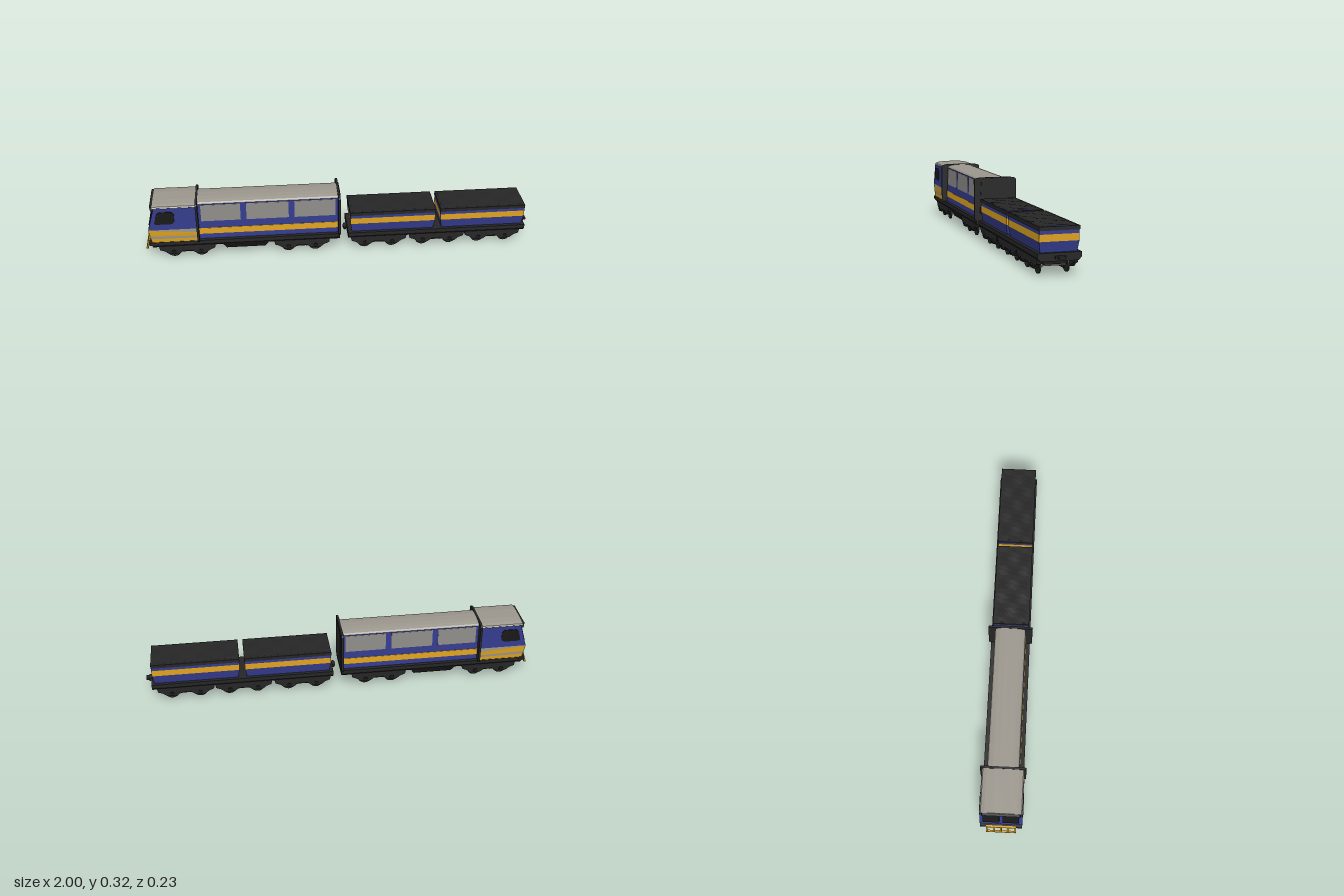
import * as THREE from 'three';

const mat = (color) => new THREE.MeshStandardMaterial({ color, flatShading: true, side: THREE.DoubleSide });
const BLUE = mat(0x343c8c), YELLOW = mat(0xdfa31f), DARK = mat(0x262626), GREY = mat(0x9c978d), GLASS = mat(0x8f8c89), BLACK = mat(0x191919);

function add(parent, name, geo, material, x = 0, y = 0, z = 0) {
  const m = new THREE.Mesh(geo, material);
  m.name = name;
  m.position.set(x, y, z);
  parent.add(m);
  return m;
}

// Box given by its limits
function box(parent, name, material, x0, x1, y0, y1, z0, z1) {
  return add(parent, name, new THREE.BoxGeometry(x1 - x0, y1 - y0, z1 - z0), material,
    (x0 + x1) / 2, (y0 + y1) / 2, (z0 + z1) / 2);
}

// Six-sided block; each end is [x0, x1, y at x0, y at x1, z0, z1]
function block(parent, name, material, bottom, top) {
  const g = new THREE.BoxGeometry(1, 1, 1), p = g.attributes.position;
  for (let i = 0; i < p.count; i++) {
    const e = p.getY(i) < 0 ? bottom : top;
    const b = p.getX(i) < 0 ? 0 : 1;
    p.setXYZ(i, e[b], e[2 + b], e[p.getZ(i) < 0 ? 4 : 5]);
  }
  g.computeVertexNormals();
  return add(parent, name, g, material);
}

// Mirrored (z, y) half profile extruded along x
function section(parent, name, material, half, x0, x1) {
  const pts = [...half, ...half.slice().reverse().map(([z, y]) => [-z, y])];
  const shape = new THREE.Shape(pts.map(([z, y]) => new THREE.Vector2(z, y)));
  const g = new THREE.ExtrudeGeometry(shape, { depth: x1 - x0, bevelEnabled: false });
  g.rotateY(Math.PI / 2);
  return add(parent, name, g, material, x0);
}

// Outline in x, y extruded through z
function slab(parent, name, material, pts, z0, z1) {
  const shape = new THREE.Shape(pts.map(([x, y]) => new THREE.Vector2(x, y)));
  const g = new THREE.ExtrudeGeometry(shape, { depth: z1 - z0, bevelEnabled: false });
  return add(parent, name, g, material, 0, 0, z0);
}

function bogie(parent, cx, offset) {
  const b = new THREE.Group();
  b.name = 'bogie';
  b.position.x = cx;
  parent.add(b);
  const o = offset;
  box(b, 'bogieBeam', BLACK, -o - 0.04, o + 0.04, 0.045, 0.078, -0.055, 0.055);
  const right = [[0.025, 0.045], [o - 0.04, 0.04], [o - 0.025, 0.028], [o + 0.025, 0.028], [o + 0.045, 0.045], [o + 0.07, 0.055], [o + 0.075, 0.08]];
  const outline = [...right, ...right.slice().reverse().map(([x, y]) => [-x, y])];
  for (const s of [-1, 1]) {
    slab(b, 'bogieSideFrame', DARK, outline, s * 0.085 - 0.01, s * 0.085 + 0.01);
    box(b, 'brakeRod', DARK, -o, o, 0.018, 0.024, s * 0.055 - 0.004, s * 0.055 + 0.004);
    for (const e of [-1, 1]) {
      const wheel = new THREE.CylinderGeometry(0.036, 0.036, 0.008, 20).rotateX(Math.PI / 2);
      add(b, 'wheel', wheel, DARK, e * o, 0.036, s * 0.066);
      const cap = new THREE.CylinderGeometry(0.012, 0.012, 0.006, 10).rotateX(Math.PI / 2);
      add(b, 'axleBox', cap, BLACK, e * o, 0.04, s * 0.095);
      box(b, 'brakeShoe', DARK, e * (o - 0.045) - 0.004, e * (o - 0.045) + 0.004, 0.017, 0.05, s * 0.055 - 0.005, s * 0.055 + 0.005);
    }
  }
  for (const e of [-1, 1])
    add(b, 'axle', new THREE.CylinderGeometry(0.006, 0.006, 0.13, 8).rotateX(Math.PI / 2), GREY, e * o, 0.036, 0);
}

// Chassis with chamfered lower edges
const deck = (parent, x0, x1) =>
  section(parent, 'chassis', DARK, [[0.088, 0.07], [0.102, 0.086], [0.102, 0.107]], x0, x1);

function cab(parent) {
  const g = new THREE.Group();
  g.name = 'cab';
  parent.add(g);
  const rear = -0.73;
  // Nose position and half width by height
  const nose = (y) => y < 0.18 ? -0.965 - (y - 0.107) * 0.18 : -0.978 + (y - 0.18) * 0.29;
  const wide = (y) => y < 0.18 ? 0.1 + (y - 0.107) * 0.068 : 0.105 - (y - 0.18) * 0.016;
  const level = (yf, yr) => [nose(yf), rear, yf, yr, -wide(yf), wide(yf)];
  const bands = [
    ['cabLowerStripe', YELLOW, [0.107, 0.107], [0.128, 0.126]],
    ['cabGreyStripe', GREY, [0.128, 0.126], [0.145, 0.138]],
    ['cabUpperStripe', YELLOW, [0.145, 0.138], [0.18, 0.16]],
    ['cabGreyWedge', GREY, [0.18, 0.16], [0.182, 0.182]],
    ['cabUpperBody', BLUE, [0.182, 0.182], [0.307, 0.307]],
  ];
  for (const [name, m, lo, hi] of bands) block(g, name, m, level(...lo), level(...hi));
  section(g, 'cabRoof', GREY, [[0.104, 0.305], [0.098, 0.313], [0.08, 0.319], [0.04, 0.323]], -0.95, rear);
  block(g, 'roofVisor', DARK, [-0.958, -0.94, 0.288, 0.288, -0.095, 0.095], [-0.962, -0.94, 0.312, 0.314, -0.09, 0.09]);
  // Side windows
  slab(g, 'cabSideWindows', BLACK, [[-0.944, 0.222], [-0.936, 0.215], [-0.856, 0.215], [-0.842, 0.228], [-0.842, 0.272],
    [-0.856, 0.285], [-0.915, 0.285], [-0.93, 0.275]], -0.1065, 0.1065);
  for (const s of [-1, 1]) {
    const z = [s * 0.008, s * 0.088].sort((a, b) => a - b);
    block(g, 'windscreen', BLACK, [nose(0.205) - 0.004, nose(0.205) + 0.01, 0.205, 0.205, ...z],
      [nose(0.285) - 0.004, nose(0.285) + 0.01, 0.285, 0.285, ...z]);
    add(g, 'headlight', new THREE.CylinderGeometry(0.01, 0.01, 0.01, 12).rotateZ(Math.PI / 2), GREY, -0.974, 0.155, s * 0.07);
  }
  // Front ledge and cowcatcher
  box(g, 'frontLedge', DARK, -0.98, -0.95, 0.09, 0.108, -0.104, 0.104);
  const guard = new THREE.Group();
  guard.name = 'cowcatcher';
  g.add(guard);
  for (let i = 0; i < 5; i++) {
    const z = -0.07 + i * 0.035;
    block(guard, 'guardBar', YELLOW, [-1, -0.992, 0.056, 0.056, z - 0.004, z + 0.004],
      [-0.984, -0.976, 0.115, 0.115, z - 0.004, z + 0.004]);
  }
  for (const [x, y] of [[-0.995, 0.06], [-0.98, 0.11]])
    box(guard, 'guardRail', YELLOW, x - 0.005, x + 0.005, y - 0.004, y + 0.004, -0.075, 0.075);
}

function locomotive(parent) {
  const g = new THREE.Group();
  g.name = 'locomotive';
  parent.add(g);
  deck(g, -0.965, -0.003);
  cab(g);
  // Coach hull, narrower than the deck
  const side = (y) => 0.083 - (y - 0.107) * 0.035;
  section(g, 'coachBody', BLUE, [[side(0.107), 0.107], [side(0.306), 0.306]], -0.73, -0.01);
  section(g, 'coachRoof', GREY, [[0.077, 0.306], [0.07, 0.314], [0.05, 0.32], [0.02, 0.323]], -0.73, -0.01);
  const panel = (name, m, x0, x1, y0, y1, s) => {
    const z = (y) => [s * (side(y) - 0.004), s * (side(y) + 0.0015)].sort((a, b) => a - b);
    block(g, name, m, [x0, x1, y0, y0, ...z(y0)], [x0, x1, y1, y1, ...z(y1)]);
  };
  for (const s of [-1, 1]) {
    panel('coachStripe', YELLOW, -0.725, -0.012, 0.135, 0.168, s);
    for (const [a, b] of [[-0.71, -0.51], [-0.48, -0.265], [-0.235, -0.025]]) panel('coachWindow', GLASS, a, b, 0.208, 0.3, s);
  }
  // Bulkheads at both ends of the coach
  for (const x of [-0.735, -0.012])
    section(g, 'bulkhead', DARK, [[0.103, 0.1], [0.113, 0.11], [0.113, 0.314], [0.106, 0.32], [0.08, 0.325]], x, x + 0.011);
  section(g, 'gangwayDoor', DARK, [[0.083, 0.107], [0.08, 0.22], [0.075, 0.312], [0.06, 0.32]], -0.002, 0.002);
  block(g, 'fuelTank', BLACK, [-0.59, -0.39, 0.04, 0.04, -0.075, 0.075], [-0.61, -0.37, 0.075, 0.075, -0.09, 0.09]);
  bogie(g, -0.79, 0.07);
  bogie(g, -0.2, 0.07);
}

function hopper(parent, x0, x1) {
  const g = new THREE.Group();
  g.name = 'hopper';
  parent.add(g);
  const inset = (d, y, w) => [x0 + d, x1 - d, y, y, -w, w];
  block(g, 'hopperBase', BLUE, inset(0.01, 0.107, 0.085), inset(0.002, 0.155, 0.092));
  block(g, 'hopperStripe', YELLOW, inset(0.002, 0.155, 0.092), inset(0.001, 0.187, 0.092));
  block(g, 'hopperTop', BLUE, inset(0.001, 0.187, 0.092), inset(0.001, 0.203, 0.092));
  // Rim
  for (const s of [-1, 1]) {
    box(g, 'rimSide', DARK, x0, x1, 0.203, 0.221, s * 0.089 - 0.005, s * 0.089 + 0.005);
    const x = s < 0 ? x0 : x1 - 0.01;
    box(g, 'rimEnd', DARK, x, x + 0.01, 0.203, 0.221, -0.094, 0.094);
  }
  // Uneven load
  const load = new THREE.PlaneGeometry(x1 - x0 - 0.02, 0.17, 16, 8).rotateX(-Math.PI / 2);
  const p = load.attributes.position;
  for (let i = 0; i < p.count; i++)
    p.setY(i, 0.0025 * Math.sin(p.getX(i) * 42) * Math.cos(p.getZ(i) * 55));
  load.computeVertexNormals();
  add(g, 'load', load, DARK, (x0 + x1) / 2, 0.222, 0);
}

function wagon(parent) {
  const g = new THREE.Group();
  g.name = 'wagon';
  parent.add(g);
  deck(g, 0.04, 0.97);
  hopper(g, 0.05, 0.495);
  hopper(g, 0.52, 0.965);
  for (const [a, b] of [[0.02, 0.04], [0.97, 1]]) {
    box(g, 'coupler', DARK, a, b, 0.083, 0.094, -0.014, 0.014);
    box(g, 'couplerPlate', DARK, a + 0.004, a + 0.014, 0.083, 0.094, -0.024, 0.024);
  }
  for (const x of [0.2, 0.505, 0.8]) bogie(g, x, 0.072);
}

export function createModel() {
  const train = new THREE.Group();
  train.name = 'train';
  locomotive(train);
  wagon(train);
  return train;
}
